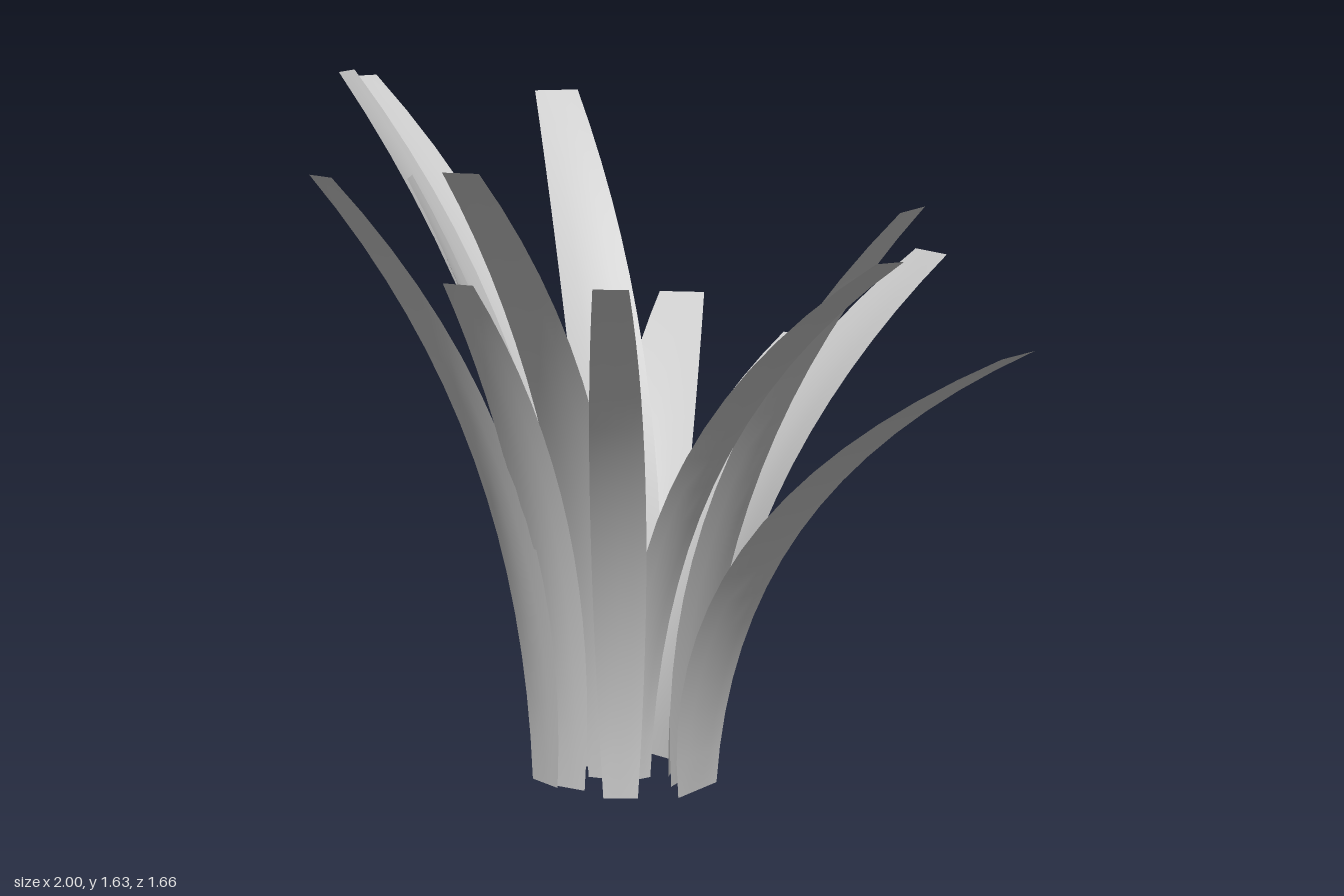
import * as THREE from 'three';

// One curved leaf: rises upright from its foot, widens, then arches out to a blunt tip.
// Its middle is slightly cupped, with the ridge on the outer side.
function makeLeaf([tipX, tipY, tipZ, baseX, baseZ, tipWidth], material) {
  const dx = tipX - baseX, dz = tipZ - baseZ;
  const reach = Math.hypot(dx, dz);
  const outX = dx / reach, outZ = dz / reach;
  const bend = 0.34 * reach / tipY;

  const geometry = new THREE.PlaneGeometry(1, 1, 4, 16);
  const pos = geometry.attributes.position;
  for (let i = 0; i < pos.count; i++) {
    const t = pos.getY(i) + 0.5, u = pos.getX(i);
    const s = u * tipWidth * (1.1 + 2.5 * t - 2.6 * t * t);
    const cup = 0.015 * Math.sin(Math.PI * t) * (0.7 - 4 * u * u);
    const r = reach * t * t + cup;
    pos.setXYZ(i,
      baseX + outX * r + outZ * s,
      tipY * ((1 + bend) * t - bend * t * t),
      baseZ + outZ * r - outX * s);
  }
  geometry.computeVertexNormals();
  return new THREE.Mesh(geometry, material);
}

export function createModel() {
  const leafGrey = new THREE.MeshStandardMaterial({ color: 0xcccccc, side: THREE.DoubleSide });
  leafGrey.name = 'leaf grey';

  // tip x, y, z, foot x, z, tip width
  const leaves = [
    // back
    [-0.65, 1.00, -0.80, -0.20, -0.18, 0.118],
    [-0.105, 0.96, -0.67, -0.10, -0.135, 0.125],
    [0.185, 1.18, -0.81, -0.005, -0.185, 0.136],
    [0.35, 1.135, -0.34, 0.02, -0.09, 0.128],
    // left
    [0.61, 1.36, -0.23, 0.095, -0.06, 0.145],
    [0.985, 1.095, -0.13, 0.18, -0.01, 0.137],
    [0.935, 1.315, 0.225, 0.025, 0.035, 0.07],
    // front
    [0.588, 1.27, 0.662, 0.10, 0.16, 0.072],
    [0.31, 1.49, 0.807, -0.03, 0.08, 0.08],
    [0.072, 1.225, 0.61, -0.04, 0.19, 0.077],
    [-0.157, 1.45, 0.79, -0.105, 0.205, 0.085],
    [-0.36, 1.405, 0.373, -0.11, 0.14, 0.095],
    // right
    [-0.615, 1.63, 0.343, -0.15, 0.08, 0.098],
    [-1.00, 1.585, -0.01, -0.13, 0.01, 0.105],
    [-0.525, 1.05, -0.15, -0.18, -0.055, 0.1],
    [-0.755, 1.54, -0.45, -0.17, -0.14, 0.112],
  ];

  const plant = new THREE.Group();
  plant.name = 'grassTuft';
  leaves.forEach((leaf, i) => {
    const mesh = makeLeaf(leaf, leafGrey);
    mesh.name = `leaf${i + 1}`;
    plant.add(mesh);
  });
  return plant;
}
